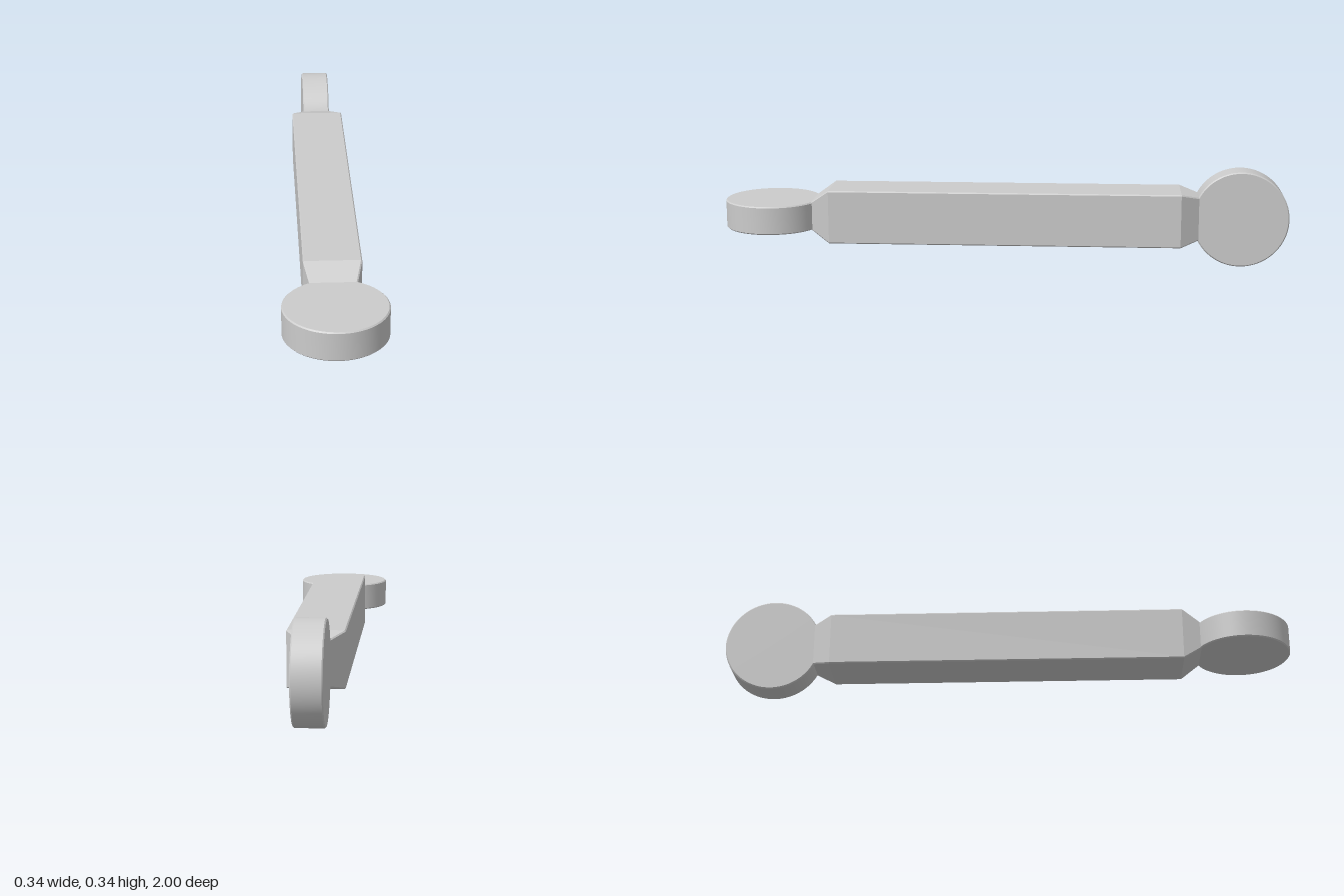
import * as THREE from 'three';
import { toCreasedNormals } from 'three/addons/utils/BufferGeometryUtils.js';

const CENTRE_Y = 0.169;
const BEVEL = 0.004;

// Disc with a fine chamfer on both rims, axis along y
function discGeometry(radius, half) {
  const profile = [
    [0, -half], [radius - BEVEL, -half], [radius, -half + BEVEL],
    [radius, half - BEVEL], [radius - BEVEL, half], [0, half],
  ].map(([x, y]) => new THREE.Vector2(x, y));
  return toCreasedNormals(new THREE.LatheGeometry(profile, 96), 0.5);
}

// Square bar lofted along z through rectangles [z, halfWidth, halfHeight] with chamfered corners
function barGeometry(sections) {
  const positions = [];
  const index = [];
  const n = 8;
  for (const [z, w, h] of sections) {
    const b = BEVEL;
    const ring = [
      [w, -h + b], [w, h - b], [w - b, h], [-w + b, h],
      [-w, h - b], [-w, -h + b], [-w + b, -h], [w - b, -h],
    ];
    for (const [x, y] of ring) positions.push(x, y, z);
  }
  for (let s = 0; s < sections.length - 1; s++) {
    for (let i = 0; i < n; i++) {
      const j = (i + 1) % n;
      const a = s * n + i, b = s * n + j;
      index.push(a, b, b + n, a, b + n, a + n);
    }
  }
  // End caps
  const last = (sections.length - 1) * n;
  for (let i = 1; i < n - 1; i++) {
    index.push(0, i + 1, i);
    index.push(last, last + i, last + i + 1);
  }
  const geometry = new THREE.BufferGeometry();
  geometry.setAttribute('position', new THREE.Float32BufferAttribute(positions, 3));
  geometry.setIndex(index);
  return toCreasedNormals(geometry, 0.1);
}

export function createModel() {
  const group = new THREE.Group();
  group.name = 'doubleEndedLever';
  const material = new THREE.MeshStandardMaterial({ color: 0xcccccc });

  const add = (name, geometry, z) => {
    const mesh = new THREE.Mesh(geometry, material);
    mesh.name = name;
    mesh.position.set(0, CENTRE_Y, z);
    group.add(mesh);
    return mesh;
  };

  // Bar: narrows sideways at the back, vertically at the front
  add('bar', barGeometry([
    [-0.684, 0.05, 0.077],
    [-0.62, 0.095, 0.095],
    [0.62, 0.095, 0.095],
    [0.684, 0.077, 0.05],
  ]), 0);

  // Flat disc at the front, upright disc at the back
  const disc = discGeometry(0.169, 0.05);
  add('frontDisc', disc, 0.831);
  add('backDisc', disc, -0.831).rotation.z = Math.PI / 2;

  return group;
}
